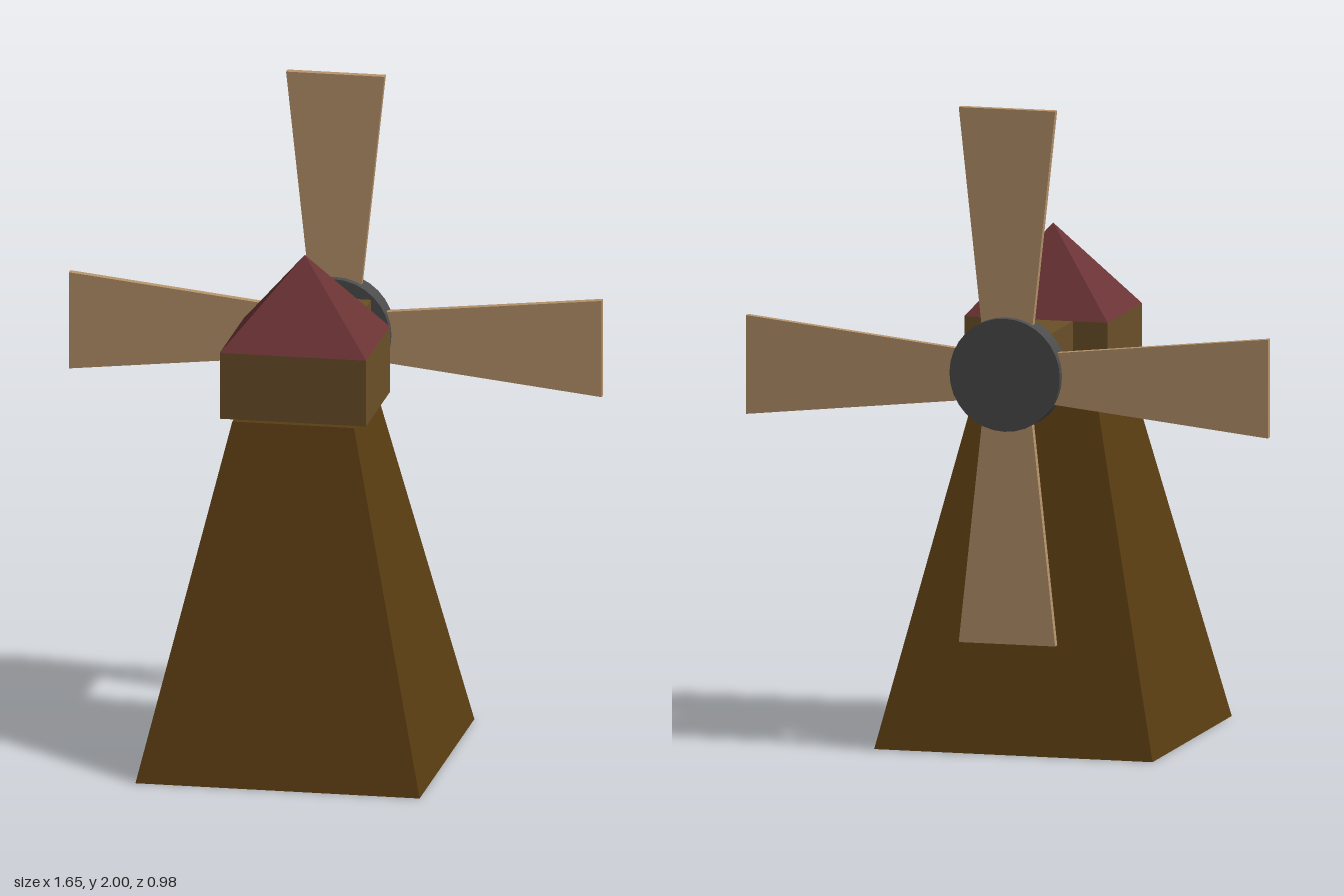
import * as THREE from 'three';

const material = (color, flatShading = true) => new THREE.MeshStandardMaterial({ color, flatShading });

const WOOD = material(0x5a3d12);
const CAP = material(0x6a5028);
const ROOF = material(0x6b3335);
const SAIL = material(0xb8946c);
const METAL = material(0x4c4c4c, false);

const BODY_Z = 0.048;
const HUB_Y = 1.177;
const HUB_Z = -0.45;

function addMesh(parent, name, geometry, mat, x, y, z) {
  const mesh = new THREE.Mesh(geometry, mat);
  mesh.name = name;
  mesh.position.set(x, y, z);
  parent.add(mesh);
  return mesh;
}

// Square frustum given by its half widths, standing on y = 0
function frustum(topHalf, bottomHalf, height) {
  const g = new THREE.CylinderGeometry(topHalf * Math.SQRT2, bottomHalf * Math.SQRT2, height, 4);
  return g.rotateY(Math.PI / 4).translate(0, height / 2, 0);
}

// Flared flat sail pointing up from the hub centre
function sailGeometry() {
  const shape = new THREE.Shape([
    new THREE.Vector2(-0.072, 0.08),
    new THREE.Vector2(0.072, 0.08),
    new THREE.Vector2(0.152, 0.823),
    new THREE.Vector2(-0.152, 0.823),
  ]);
  return new THREE.ExtrudeGeometry(shape, { depth: 0.024, bevelEnabled: false }).translate(0, 0, -0.012);
}

export function createModel() {
  const model = new THREE.Group();
  model.name = 'windmill';

  // Tapered tower
  addMesh(model, 'tower', frustum(0.188, 0.439, 1.085), WOOD, 0, 0, BODY_Z);

  // Cap with pyramid roof
  addMesh(model, 'cap', new THREE.BoxGeometry(0.452, 0.208, 0.38), CAP, 0, 1.197, BODY_Z + 0.002);
  addMesh(model, 'roof', frustum(0, 0.226, 0.268).scale(1, 1, 0.19 / 0.226), ROOF, 0, 1.301, BODY_Z + 0.002);

  // Square axle housing reaching back to the hub
  addMesh(model, 'axleHousing', new THREE.BoxGeometry(0.232, 0.208, 0.29), CAP, 0, 1.197, -0.27);

  // Hub disc and four sails
  const rotor = new THREE.Group();
  rotor.name = 'rotor';
  rotor.position.set(0, HUB_Y, HUB_Z);
  model.add(rotor);
  const hub = new THREE.CylinderGeometry(0.174, 0.174, 0.076, 32).rotateX(Math.PI / 2);
  addMesh(rotor, 'hub', hub, METAL, 0, 0.009, 0);
  const sail = sailGeometry();
  for (let i = 0; i < 4; i++) {
    addMesh(rotor, 'sail' + (i + 1), sail, SAIL, 0, 0, 0).rotation.z = (i * Math.PI) / 2;
  }

  return model;
}
